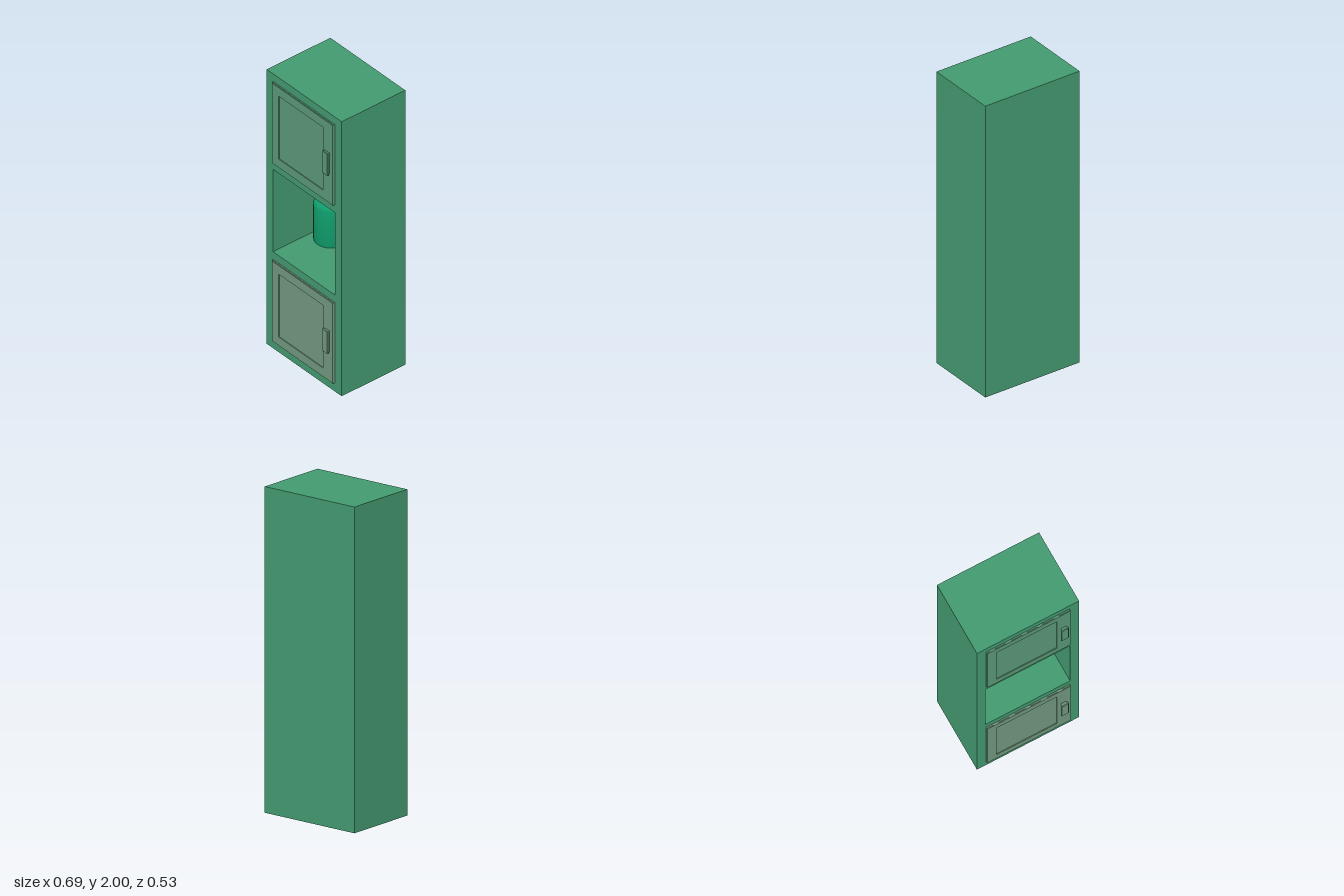
import * as THREE from 'three';
import { toCreasedNormals } from 'three/addons/utils/BufferGeometryUtils.js';

const paint = (color) => new THREE.MeshStandardMaterial({ color });

function addMesh(parent, name, geometry, material, x = 0, y = 0, z = 0) {
  const mesh = new THREE.Mesh(geometry, material);
  mesh.name = name;
  mesh.position.set(x, y, z);
  parent.add(mesh);
  return mesh;
}

// Adds a rectangle's corners to a Shape or Path.
function rect(path, x0, y0, x1, y1) {
  path.moveTo(x0, y0).lineTo(x1, y0).lineTo(x1, y1).lineTo(x0, y1).closePath();
  return path;
}

// Rectangular plate with a rectangular opening, extruded towards +z.
function framePlate(outer, inner, depth) {
  const shape = rect(new THREE.Shape(), ...outer);
  shape.holes.push(rect(new THREE.Path(), ...inner));
  return new THREE.ExtrudeGeometry(shape, { depth, bevelEnabled: false });
}

// Pull handle: narrow at the door, flaring out, with a small front chamfer.
function handleGeometry() {
  const sections = [
    { inset: 0.009, z: 0 },
    { inset: 0, z: 0.018 },
    { inset: 0.004, z: 0.023 },
  ];
  const geometry = new THREE.BoxGeometry(0.052, 0.163, 2, 1, 1, 2);
  const p = geometry.attributes.position;
  for (let i = 0; i < p.count; i++) {
    const { inset, z } = sections[Math.round(p.getZ(i)) + 1];
    p.setXYZ(i,
      p.getX(i) - Math.sign(p.getX(i)) * inset,
      p.getY(i) - Math.sign(p.getY(i)) * inset * 0.7,
      z);
  }
  const flat = geometry.toNonIndexed();
  flat.computeVertexNormals();
  return flat;
}

// Door with a shallow recessed panel and a handle; its origin is the lower edge.
function createDoor(name, material) {
  const door = new THREE.Group();
  door.name = name;
  addMesh(door, 'doorPanel', new THREE.BoxGeometry(0.563, 0.588, 0.008), material, -0.0015, 0.294, 0.004);
  addMesh(door, 'doorFrame',
    framePlate([-0.28, 0.003, 0.277, 0.585], [-0.218, 0.065, 0.187, 0.522], 0.005),
    material, 0, 0, 0.008);
  addMesh(door, 'handle', handleGeometry(), material, 0.231, 0.294, 0.013);
  return door;
}

function createJar() {
  const points = [
    [0, 0], [0.098, 0], [0.103, 0.004], [0.105, 0.012], [0.105, 0.262],
    [0.102, 0.273], [0.095, 0.282], [0.084, 0.288], [0.058, 0.292],
    [0.058, 0.297], [0.064, 0.299], [0.064, 0.314], [0.06, 0.319], [0, 0.32],
  ].map(([r, y]) => new THREE.Vector2(r, y));
  return toCreasedNormals(new THREE.LatheGeometry(points, 40), 0.6);
}

export function createModel() {
  const model = new THREE.Group();
  model.name = 'cabinet';
  const green = paint(0x43996f);

  // Carcass with the open middle niche
  const carcass = new THREE.Group();
  carcass.name = 'carcass';
  model.add(carcass);
  addMesh(carcass, 'body',
    framePlate([-0.343, 0, 0.343, 2], [-0.285, 0.703, 0.283, 1.303], 0.456),
    green, 0, 0, -0.23);
  addMesh(carcass, 'backPanel', new THREE.BoxGeometry(0.686, 2, 0.034), green, 0, 1, -0.247);

  // Doors
  const doors = [
    ['upperDoor', 0x5a9876, 1.357],
    ['lowerDoor', 0x70987f, 0.06],
  ];
  for (const [name, color, y] of doors) {
    const door = createDoor(name, paint(color));
    door.position.set(0, y, 0.226);
    model.add(door);
  }

  // Jar standing at the back of the niche
  addMesh(model, 'jar', createJar(), paint(0x0f9a6a), -0.166, 0.704, -0.12);

  return model;
}
